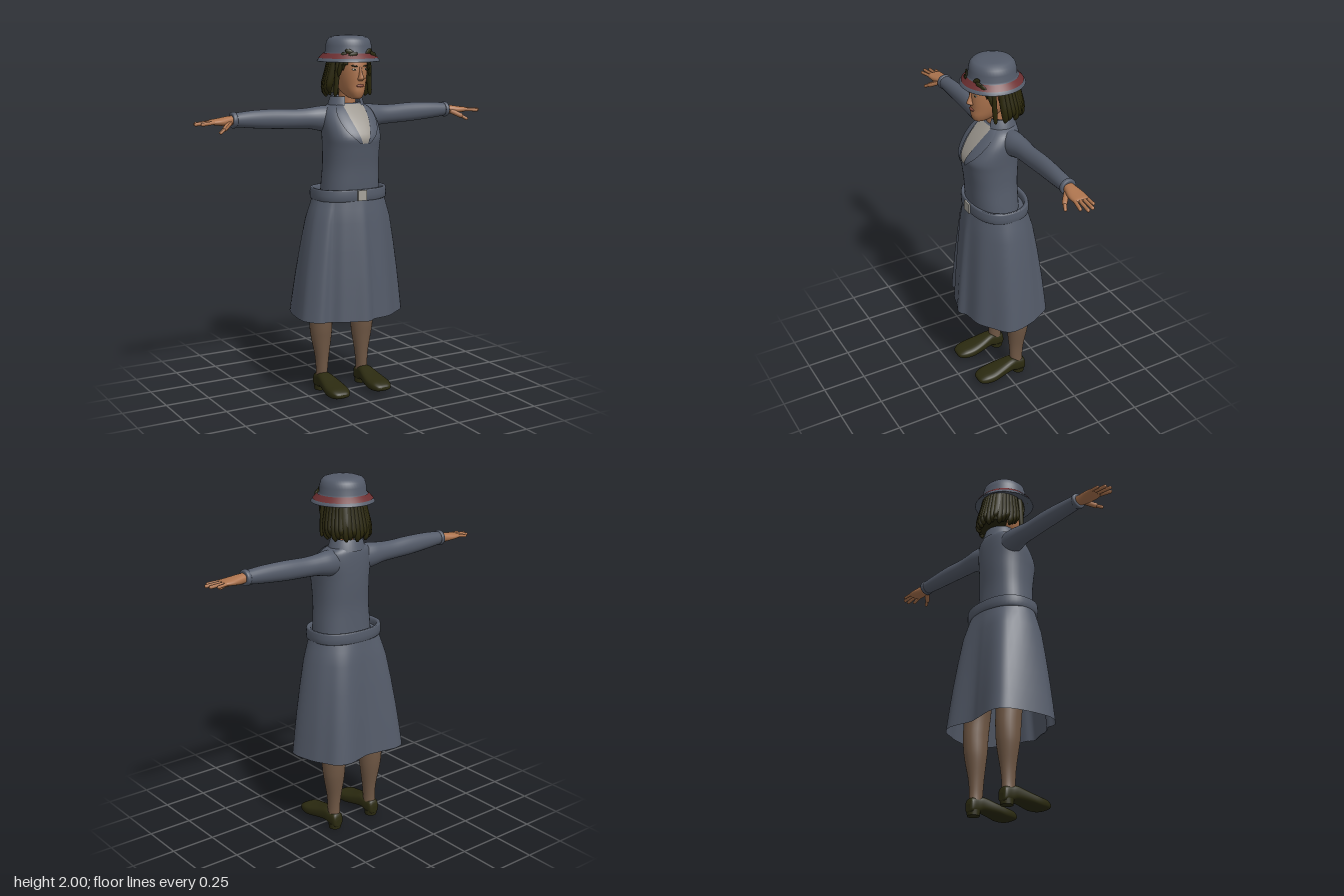
import * as THREE from 'three';

const paint = (name, color) => {
  const m = new THREE.MeshStandardMaterial({ color });
  m.name = name;
  return m;
};

// Surface through rows of points; optional end caps.
function skin(rows, closed = true, caps = false) {
  const n = rows[0].length, pos = [], idx = [], w = closed ? n : n - 1;
  rows.forEach(r => r.forEach(p => pos.push(p.x, p.y, p.z)));
  for (let i = 0; i < rows.length - 1; i++) for (let j = 0; j < w; j++) {
    const a = i * n + j, b = i * n + (j + 1) % n;
    idx.push(a, b, b + n, a, b + n, a + n);
  }
  if (caps) [0, rows.length - 1].forEach((r, end) => {
    const c = new THREE.Vector3();
    rows[r].forEach(p => c.addScaledVector(p, 1 / n));
    const base = pos.length / 3;
    rows[r].forEach(p => pos.push(p.x, p.y, p.z));
    pos.push(c.x, c.y, c.z);
    for (let j = 0; j < n; j++) {
      const a = base + j, b = base + (j + 1) % n;
      end ? idx.push(a, b, base + n) : idx.push(b, a, base + n);
    }
  });
  const g = new THREE.BufferGeometry();
  g.setAttribute('position', new THREE.Float32BufferAttribute(pos, 3));
  g.setIndex(idx);
  g.computeVertexNormals();
  return g;
}

// Smoothly adds rings between the given ones.
function smooth(rings, k = 4) {
  const out = [], at = i => rings[Math.min(rings.length - 1, Math.max(0, i))];
  for (let i = 0; i < rings.length - 1; i++) for (let s = 0; s < k; s++) {
    const t = s / k;
    out.push(at(i).map((b, c) => {
      const a = at(i - 1)[c], d = at(i + 1)[c], e = at(i + 2)[c];
      return b + 0.5 * t * (d - a + t * (2 * a - 5 * b + 4 * d - e + t * (3 * (b - d) + e - a)));
    }));
  }
  out.push(rings[rings.length - 1]);
  return out;
}

// Loft of rings [t, u0, u1, v0, v1]; (u, v) is (z, x) on y, (y, z) on x, (x, y) on z.
function loft(axis, rings, p = 2, n = 24, k = 4) {
  const pw = v => Math.sign(v) * Math.abs(v) ** (2 / p);
  return skin(smooth(rings, k).map(([t, u0, u1, v0, v1]) => Array.from({ length: n }, (_, j) => {
    const a = j / n * Math.PI * 2;
    const u = (u0 + u1) / 2 + (u1 - u0) / 2 * pw(Math.cos(a));
    const v = (v0 + v1) / 2 + (v1 - v0) / 2 * pw(Math.sin(a));
    return axis === 'y' ? new THREE.Vector3(v, t, u) : axis === 'x' ? new THREE.Vector3(t, u, v) : new THREE.Vector3(u, v, t);
  })), true, true);
}

function mirrored(g) {
  const m = g.clone().scale(-1, 1, 1), ix = m.index.array;
  for (let i = 0; i < ix.length; i += 3) [ix[i], ix[i + 1]] = [ix[i + 1], ix[i]];
  m.computeVertexNormals();
  return m;
}

function blob(x, y, z, sx, sy, sz, rz = 0, ry = 0) {
  return new THREE.SphereGeometry(1, 14, 10).scale(sx, sy, sz).rotateZ(rz).rotateY(ry).translate(x, y, z);
}

function finger(a, b, r) {
  const A = new THREE.Vector3(...a), d = new THREE.Vector3(...b).sub(A), len = d.length();
  const q = new THREE.Quaternion().setFromUnitVectors(new THREE.Vector3(0, 1, 0), d.clone().normalize());
  return new THREE.CapsuleGeometry(r, len, 4, 10).applyQuaternion(q).translate(...A.addScaledVector(d, 0.5).toArray());
}

export function createModel() {
  const model = new THREE.Group();
  const cloth = paint('slate cloth', 0x545b69), skinTone = paint('skin', 0xad744e);
  const stocking = paint('stocking', 0x705845), shoe = paint('dark olive leather', 0x2b2a10);
  const hair = paint('dark hair', 0x292609), shirt = paint('grey shirt', 0x9a958d);
  const red = paint('red ribbon', 0x6c2f31), lip = paint('lips', 0x8a4c3c);
  const metal = paint('buckle metal', 0xa5a29a), white = paint('eye white', 0xb5aba0);
  cloth.side = shirt.side = red.side = THREE.DoubleSide;
  const add = (name, g, mat) => {
    const m = new THREE.Mesh(g, mat);
    m.name = name;
    model.add(m);
  };
  const pair = (name, g, mat) => {
    add('left' + name, g, mat);
    add('right' + name, mirrored(g), mat);
  };

  // Jacket body
  const body = [[1.13, -.11, .15, .165], [1.2, -.107, .157, .16], [1.3, -.105, .165, .152], [1.4, -.11, .18, .152],
    [1.46, -.112, .187, .155], [1.52, -.112, .155, .157], [1.57, -.11, .115, .15], [1.61, -.105, .075, .13],
    [1.637, -.095, .045, .08]].map(([y, b, f, x]) => [y, b, f, -x, x]);
  add('jacket', loft('y', body, 2.4, 40), cloth);

  // Shirt front and lapels follow the jacket's front
  const dense = smooth(body);
  const frontZ = (x, y) => {
    const i = Math.max(1, dense.findIndex(r => r[0] >= y)), a = dense[i - 1], b = dense[i];
    const r = a.map((v, c) => v + (b[c] - v) * (y - a[0]) / (b[0] - a[0]));
    const k = Math.max(0, 1 - Math.abs(x / r[4]) ** 2.4) ** (1 / 2.4);
    return (r[1] + r[2]) / 2 + (r[2] - r[1]) / 2 * k;
  };
  const patch = (rows, off) => skin(smooth(rows).map(([y, x0, x1]) => Array.from({ length: 11 }, (_, j) => {
    const x = x0 + (x1 - x0) * j / 10;
    return new THREE.Vector3(x, y, frontZ(x, y) + off);
  })), false);
  add('shirtFront', patch([[1.43, -.018, .018], [1.5, -.042, .042], [1.57, -.06, .06], [1.632, -.064, .064]], .005), shirt);
  pair('Lapel', patch([[1.43, .016, .03], [1.49, .036, .088], [1.55, .053, .112], [1.6, .06, .108], [1.628, .06, .085]], .011), cloth);

  // Turned-down collar, open at the front
  const collar = [[.066, 1.61], [.07, 1.655], [.078, 1.673], [.088, 1.672], [.108, 1.612]].map(p => new THREE.Vector2(...p));
  add('collar', new THREE.LatheGeometry(collar, 32, .5, Math.PI * 2 - 1).scale(1, 1, .87).translate(0, 0, -.02), cloth);

  // Sleeves, cuffs and hands
  pair('Sleeve', loft('x', [[.08, 1.475, 1.622, -.09, .04], [.15, 1.485, 1.622, -.095, .025], [.22, 1.5, 1.614, -.09, .01],
    [.3, 1.505, 1.611, -.085, .005], [.42, 1.51, 1.616, -.085, 0], [.55, 1.52, 1.614, -.08, 0], [.66, 1.532, 1.605, -.076, 0]]), cloth);
  pair('Cuff', loft('x', [[.65, 1.53, 1.606, -.077, .001], [.655, 1.526, 1.611, -.081, .006], [.67, 1.526, 1.61, -.081, .006],
    [.674, 1.532, 1.603, -.075, 0]], 2, 24, 2), cloth);
  pair('Palm', loft('x', [[.65, 1.547, 1.594, -.062, -.014], [.7, 1.54, 1.59, -.07, 0], [.75, 1.545, 1.582, -.078, .01],
    [.79, 1.551, 1.577, -.076, .009], [.802, 1.557, 1.571, -.07, .003]], 2.3), skinTone);
  [[0, .012, .862], [-.023, -.016, .888], [-.046, -.045, .88], [-.066, -.07, .85]].forEach(([z0, z1, x], i) =>
    pair('Finger' + (i + 1), finger([.785, 1.564, z0], [x - .008, 1.558, z1], i === 3 ? .008 : .0095), skinTone));
  pair('ThumbBase', finger([.695, 1.556, -.01], [.735, 1.533, .024], .014), skinTone);
  pair('ThumbTip', finger([.735, 1.533, .024], [.765, 1.515, .038], .0095), skinTone);

  // Skirt: waist oval flowing into a wavy hem
  const hem = new THREE.CatmullRomCurve3([[-.3, .1], [-.25, .155], [-.19, .155], [-.14, .19], [-.07, .21], [0, .235], [.05, .212],
    [.15, .195], [.22, .15], [.31, .07], [.29, -.08], [.255, -.15], [.22, -.21], [.15, -.24], [0, -.21], [-.07, -.22],
    [-.21, -.235], [-.27, -.19], [-.317, .05]].map(([x, z]) => new THREE.Vector3(x, 0, z)), true).getPoints(96).slice(0, 96);
  const levels = [[.46, 1], [.58, .88], [.7, .75], [.85, .56], [1, .34], [1.07, .16], [1.13, 0]];
  const skirtRows = (pts, s) => levels.map(([y, w]) => pts.map(p => {
    const a = Math.atan2(p.x / .21, p.z / .156);
    return new THREE.Vector3(s * THREE.MathUtils.lerp(.208 * Math.sin(a), p.x, w), y,
      s * THREE.MathUtils.lerp(.004 + .156 * Math.cos(a), p.z, w));
  }));
  add('skirt', skin(skirtRows(hem, 1)), cloth);
  add('skirtFlap', skin(skirtRows(hem.filter(p => p.z > 0 && p.x > -.2 && p.x < .045), 1.02), false), cloth);

  // Belt and buckle
  add('belt', loft('y', [[1.114, .2], [1.12, .213], [1.17, .213], [1.178, .206], [1.172, .19], [1.14, .188]]
    .map(([y, x]) => [y, .055 - x, x - .047, -x, x]), 2.4, 48, 2), cloth);
  add('buckle', new THREE.BoxGeometry(.052, .056, .014).translate(-.005, 1.147, .168), metal);

  // Legs and shoes
  pair('Leg', loft('y', [[.06, -.11, -.035, .098, .165], [.12, -.108, -.03, .098, .162], [.2, -.115, -.025, .09, .168],
    [.3, -.132, -.014, .075, .187], [.36, -.14, -.006, .07, .195], [.44, -.144, 0, .068, .198], [.55, -.14, .01, .06, .2],
    [.75, -.14, .02, .03, .2], [.95, -.13, .04, .01, .19]]), stocking);
  pair('Shoe', loft('z', [[-.12, .115, .15, .02, .06], [-.11, .1, .165, .012, .092], [-.07, .095, .17, .015, .102],
    [-.03, .09, .175, .028, .11], [.04, .075, .187, .022, .092], [.1, .068, .196, .012, .078], [.15, .073, .192, .013, .07],
    [.183, .09, .176, .022, .056], [.192, .11, .155, .032, .045]], 2.8), shoe);
  pair('Heel', new THREE.CylinderGeometry(.037, .034, .03, 20).translate(.133, .015, -.083), shoe);

  // Neck, head and face
  add('neck', loft('y', [[1.58, -.06, .045, -.05, .05], [1.65, -.055, .045, -.045, .045], [1.74, -.06, .05, -.045, .045]]), skinTone);
  add('head', loft('y', [[1.663, .06, .115, -.018, .018], [1.672, .03, .128, -.034, .034], [1.7, -.03, .139, -.052, .052],
    [1.735, -.07, .139, -.065, .065], [1.78, -.095, .142, -.074, .074], [1.83, -.105, .142, -.078, .078],
    [1.88, -.1, .13, -.078, .078], [1.93, -.06, .09, -.05, .05]], 2.3), skinTone);
  add('nose', loft('y', [[1.761, .12, .148, -.012, .012], [1.771, .12, .165, -.017, .017], [1.783, .12, .165, -.013, .013],
    [1.805, .12, .155, -.009, .009], [1.835, .12, .145, -.009, .009]], 2, 14), skinTone);
  add('lips', blob(0, 1.735, .139, .024, .008, .007), lip);
  pair('Ear', blob(.084, 1.81, .008, .011, .032, .02), skinTone);
  pair('Eye', blob(.033, 1.822, .134, .014, .006, .004, 0, .25), white);
  pair('Iris', blob(.033, 1.822, .137, .006, .006, .0025, 0, .25), hair);
  pair('Brow', blob(.034, 1.84, .136, .019, .004, .004, .12, .25), hair);

  // Bobbed hair: inner mass with hanging locks
  add('hairMass', loft('y', [[1.69, -.135, -.02, -.105, .105], [1.75, -.14, -.015, -.105, .105], [1.82, -.125, -.015, -.095, .095],
    [1.89, -.11, .03, -.09, .09]], 2.4), hair);
  const lock = (a, levels, r) => loft('y', levels.map(([y, rx, rz, c, k]) => {
    const x = rx * Math.sin(a), z = c + rz * Math.cos(a);
    return [y, z - r * k, z + r * k, x - r * k, x + r * k];
  }), 2, 8, 3);
  for (let i = 0; i < 21; i++) {
    const a = THREE.MathUtils.degToRad(80 + i * 10), low = 1.67 + .012 * (i % 3);
    add('hairLock' + i, lock(a, [[low, .112, .118, -.02, .25], [low + .025, .119, .124, -.018, .8], [1.75, .116, .122, -.012, 1],
      [1.82, .101, .112, -.005, .95], [1.9, .088, .1, 0, .8]], .021), hair);
  }
  [[66, 1.675], [54, 1.78], [42, 1.815]].forEach(([deg, low], i) =>
    pair('FringeLock' + i, lock(THREE.MathUtils.degToRad(deg), [[low, .118, .1, .015, .2], [low + .03, .115, .102, .015, .85],
      [1.85, .102, .112, .015, 1], [1.9, .095, .11, .01, .9]], .015), hair));

  // Hat with ribbon and leaf trim
  const lathe = pts => new THREE.LatheGeometry(pts.map(p => new THREE.Vector2(...p)), 48).translate(-.003, 0, .014);
  add('hat', lathe([[.1, 1.885], [.13, 1.882], [.168, 1.86], [.172, 1.863], [.16, 1.877], [.134, 1.903], [.127, 1.912], [.125, 1.945],
    [.117, 1.973], [.102, 1.989], [.075, 1.997], [.04, 2], [0, 2]]), cloth);
  add('hatRibbon', lathe([[.162, 1.879], [.15, 1.892], [.136, 1.906]]), red);
  [[-.095, 1.895, .115, .7], [-.062, 1.914, .133, -.4], [-.05, 1.9, .147, .3], [.052, 1.914, .135, .5], [.078, 1.9, .132, -.5],
    [.1, 1.888, .121, -.9]].forEach(([x, y, z, t], i) =>
    add('hatLeaf' + i, blob(x, y, z, .026, .014, .006, t, Math.atan2(x, z)), shoe));

  return model;
}
